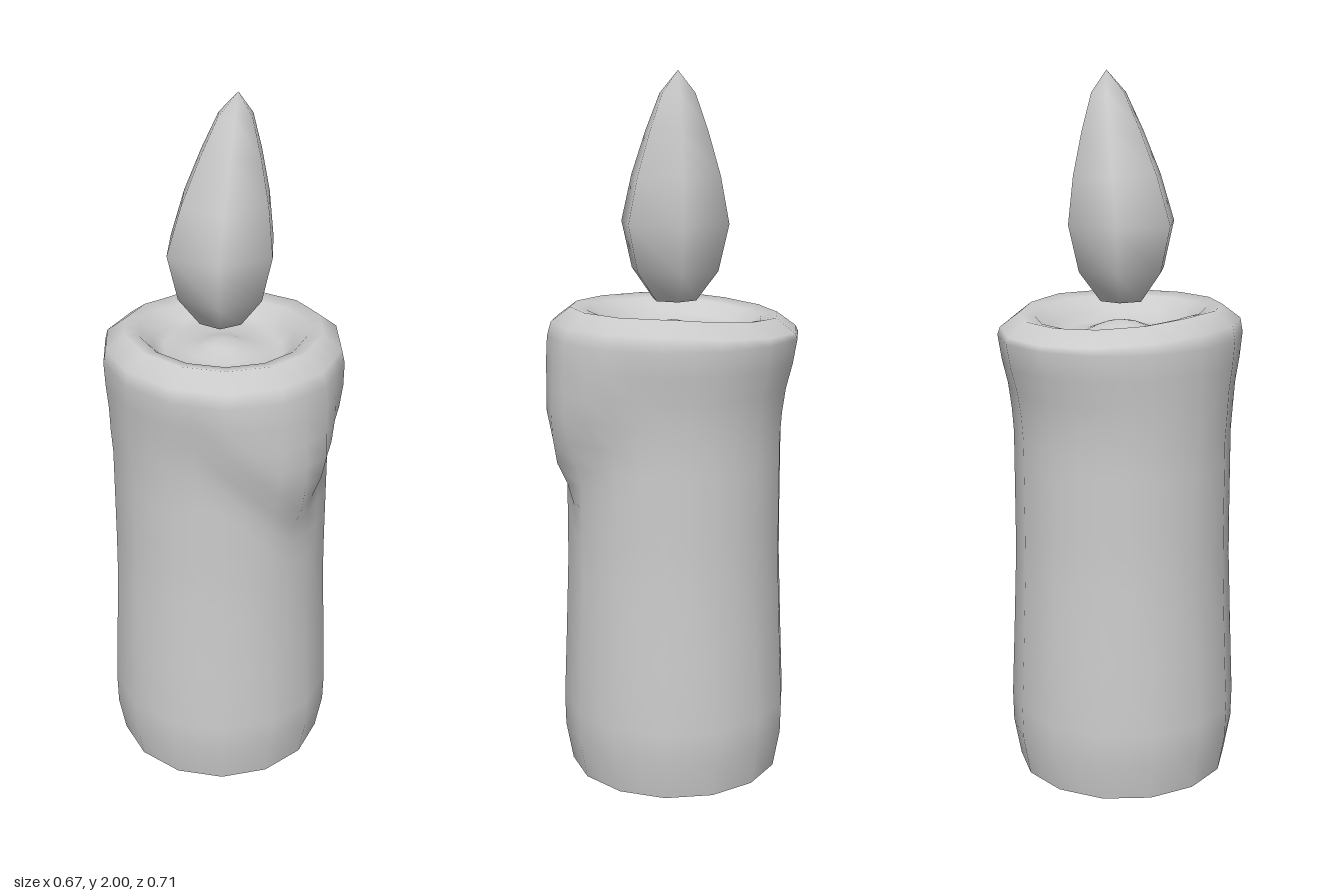
import * as THREE from 'three';
import { mergeVertices } from 'three/addons/utils/BufferGeometryUtils.js';

const DEG = Math.PI / 180;
const SIDES = 14;
const DRIP = 22 * DEG; // direction of the wax drip, from +z towards +x
const wax = new THREE.MeshStandardMaterial({ color: 0xcccccc });

// Turned profile of [radius, y] points, moved by a rule, with welded smooth normals
function turned(profile, segments, start, move) {
  const points = profile.map(([r, y]) => new THREE.Vector2(r, y));
  const geometry = new THREE.LatheGeometry(points, segments, start);
  geometry.deleteAttribute('uv');
  geometry.deleteAttribute('normal');
  const p = geometry.attributes.position;
  const v = new THREE.Vector3();
  for (let i = 0; i < p.count; i++) {
    move(v.fromBufferAttribute(p, i));
    p.setXYZ(i, v.x, v.y, v.z);
  }
  const welded = mergeVertices(geometry, 1e-4);
  welded.computeVertexNormals();
  return welded;
}

function part(name, geometry) {
  const mesh = new THREE.Mesh(geometry, wax);
  mesh.name = name;
  return mesh;
}

// Keeps the outline a 14-sided polygon although it has twice as many columns
function polygonRadius(angle) {
  const step = (2 * Math.PI) / SIDES;
  const local = angle - DRIP - Math.round((angle - DRIP) / step) * step;
  return Math.cos(step / 2) / Math.cos(local);
}

// Melted overhang on the outer wall, with one pointed drip
function shapeWax(v) {
  const r = Math.hypot(v.x, v.z);
  if (r < 1e-4) return;
  const angle = Math.atan2(v.x, v.z);
  const away = Math.abs(Math.atan2(Math.sin(angle - DRIP), Math.cos(angle - DRIP)));
  const near = Math.max(0, 1 - away / (48 * DEG));
  let radius = r * polygonRadius(angle) * 1.01;
  if (r > 0.29 && v.y > 0.6) {
    const lip = 1.13 - 0.27 * near;
    radius += 0.06 * Math.sqrt(near) * THREE.MathUtils.smoothstep(v.y, lip - 0.06, lip + 0.12)
      * (1 - THREE.MathUtils.smoothstep(v.y, 1.05, 1.33));
  }
  const upper = THREE.MathUtils.smoothstep(v.y, 1.05, 1.3);
  v.x = Math.sin(angle) * radius * (1 - 0.04 * upper) - 0.008 * (1 - upper);
  v.z = Math.cos(angle) * radius * (1 + 0.02 * upper);
  // the rim sinks a little at the back
  if (v.y > 1.29) v.y -= 0.025 * Math.max(0, -Math.cos(angle)) * Math.min(1, r / 0.25);
}

// The tip of the flame leans towards +x
function bendFlame(v) {
  const t = Math.max(0, (v.y - 1.6) / 0.4);
  v.x += -0.005 + 0.05 * t;
  v.z -= 0.01 * t;
}

export function createModel() {
  const candle = new THREE.Group();
  candle.name = 'candle';

  // Wax column, rim and melted pool
  const body = [
    [0.302, 0], [0.322, 0.11], [0.324, 0.2], [0.316, 0.4], [0.308, 0.62],
    [0.307, 0.72], [0.307, 0.8], [0.307, 0.87], [0.307, 0.93], [0.307, 1.0],
    [0.312, 1.07], [0.32, 1.14], [0.335, 1.21], [0.345, 1.28], [0.338, 1.32],
    [0.285, 1.36], [0.24, 1.35], [0.2, 1.31], [0.17, 1.285], [0.1, 1.29],
    [0.05, 1.31], [0, 1.32],
  ];
  candle.add(part('waxBody', turned(body, SIDES * 2, DRIP, shapeWax)));

  // Flat underside
  const base = part('base', new THREE.CircleGeometry(0.302, SIDES));
  base.rotation.x = Math.PI / 2;
  base.rotation.z = DRIP - Math.PI / 2;
  base.position.x = -0.008;
  candle.add(base);

  // Six-sided flame
  const flame = [
    [0, 1.37], [0.065, 1.375], [0.13, 1.46], [0.161, 1.59], [0.132, 1.72],
    [0.092, 1.84], [0.052, 1.94], [0, 2],
  ];
  candle.add(part('flame', turned(flame, 6, 40 * DEG, bendFlame)));

  return candle;
}
